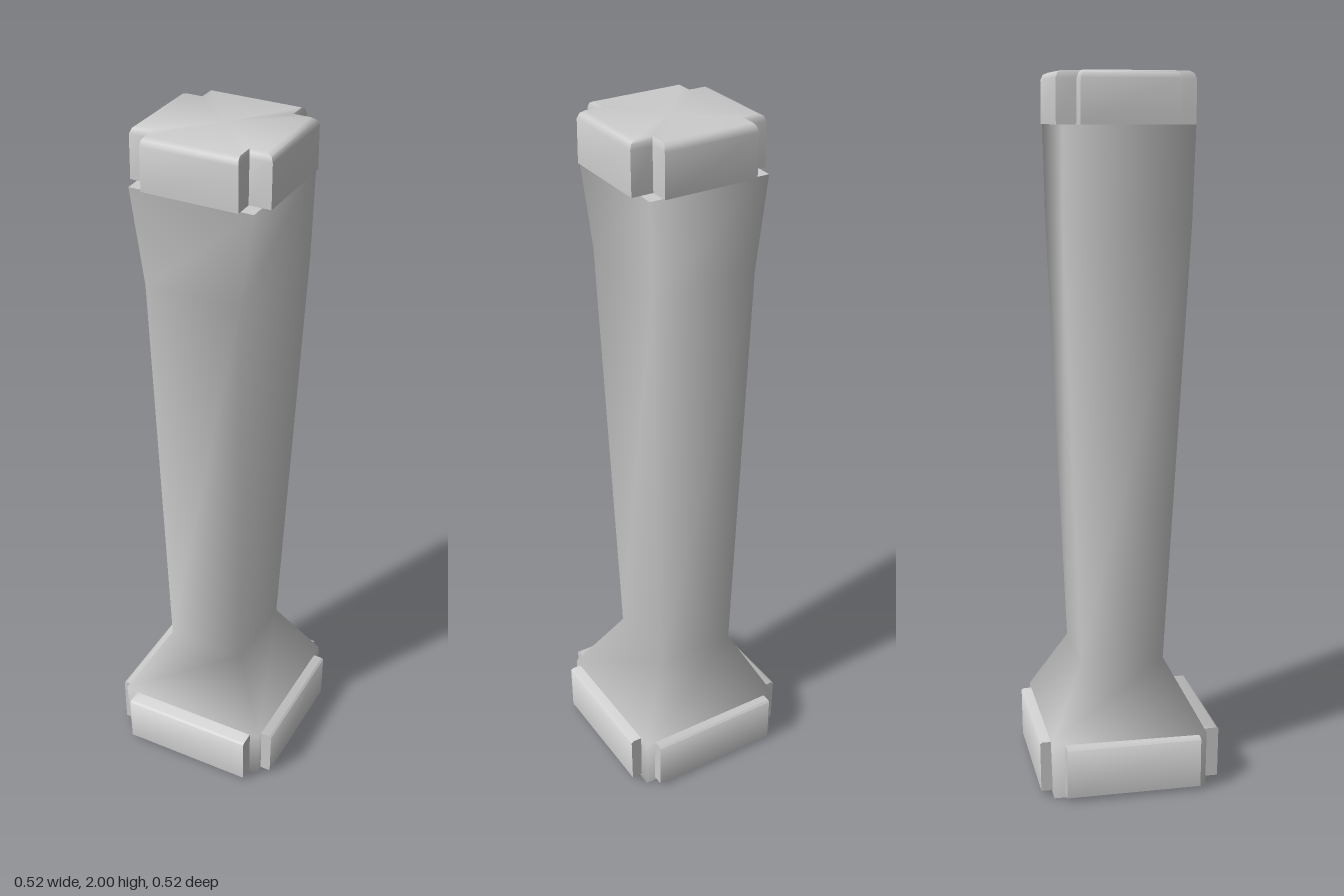
import * as THREE from 'three';
import { toCreasedNormals } from 'three/addons/utils/BufferGeometryUtils.js';

// Skin over rings of [x, z] points (counterclockwise from above), closed by flat lids
function loft(rings) {
  const pos = [], idx = [], n = rings[0].points.length;
  const addRing = ({ y, points }) => {
    const start = pos.length / 3;
    points.forEach(([x, z]) => pos.push(x, y, z));
    return start;
  };
  const starts = rings.map(addRing);
  for (let r = 0; r < rings.length - 1; r++) {
    for (let i = 0; i < n; i++) {
      const j = (i + 1) % n, a = starts[r], b = starts[r + 1];
      idx.push(a + i, a + j, b + j, a + i, b + j, b + i);
    }
  }
  const addLid = (ring, up) => {
    const s = addRing(ring), c = pos.length / 3;
    pos.push(0, ring.y, 0);
    for (let i = 0; i < n; i++) {
      const j = (i + 1) % n;
      idx.push(...(up ? [s + i, s + j, c] : [s + j, s + i, c]));
    }
  };
  addLid(rings[0], false);
  addLid(rings[rings.length - 1], true);
  const geo = new THREE.BufferGeometry();
  geo.setAttribute('position', new THREE.Float32BufferAttribute(pos, 3));
  geo.setIndex(idx);
  geo.computeVertexNormals();
  return geo;
}

// Square outline with notched corners
function notched(outX, outZ, armX, armZ) {
  const half = [[armX, outZ], [armX, armZ], [outX, armZ], [outX, -armZ], [armX, -armZ], [armX, -outZ]];
  return [...half, ...half.map(([x, z]) => [-x, -z])];
}

// Four corners: front left, back left, back right, front right
const quad = (xf, xb, xbr, xfr, zf, zb) => [[xf, zf], [xb, zb], [xbr, zb], [xfr, zf]];

export function createModel() {
  const group = new THREE.Group();
  const material = new THREE.MeshStandardMaterial({ color: 0xcccccc });
  const add = (name, geo) => {
    const mesh = new THREE.Mesh(geo, material);
    mesh.name = name;
    group.add(mesh);
  };

  // Tapering shaft with a flared foot, softly shaded around its corners
  add('shaft', loft([
    { y: 0, points: quad(0.225, 0.225, -0.225, -0.225, 0.215, -0.225) },
    { y: 0.165, points: quad(0.225, 0.225, -0.225, -0.235, 0.215, -0.23) },
    { y: 0.36, points: quad(0.11, 0.115, -0.125, -0.125, 0.11, -0.13) },
    { y: 1.6, points: quad(0.135, 0.165, -0.145, -0.135, 0.18, -0.175) },
    { y: 1.862, points: quad(0.17, 0.17, -0.175, -0.175, 0.178, -0.18) },
  ]));

  // Plinth panels around the foot
  add('plinth', toCreasedNormals(loft([
    { y: 0.012, points: notched(0.256, 0.258, 0.197, 0.193) },
    { y: 0.155, points: notched(0.258, 0.26, 0.197, 0.193) },
    { y: 0.16, points: notched(0.252, 0.254, 0.197, 0.193) },
  ]), 1));

  // Notched cap with a softened top edge
  add('cap', toCreasedNormals(loft([
    { y: 1.862, points: notched(0.195, 0.189, 0.134, 0.135) },
    { y: 1.98, points: notched(0.195, 0.189, 0.134, 0.133) },
    { y: 1.994, points: notched(0.189, 0.183, 0.131, 0.128) },
    { y: 2, points: notched(0.175, 0.17, 0.128, 0.122) },
  ]), 1));

  return group;
}
